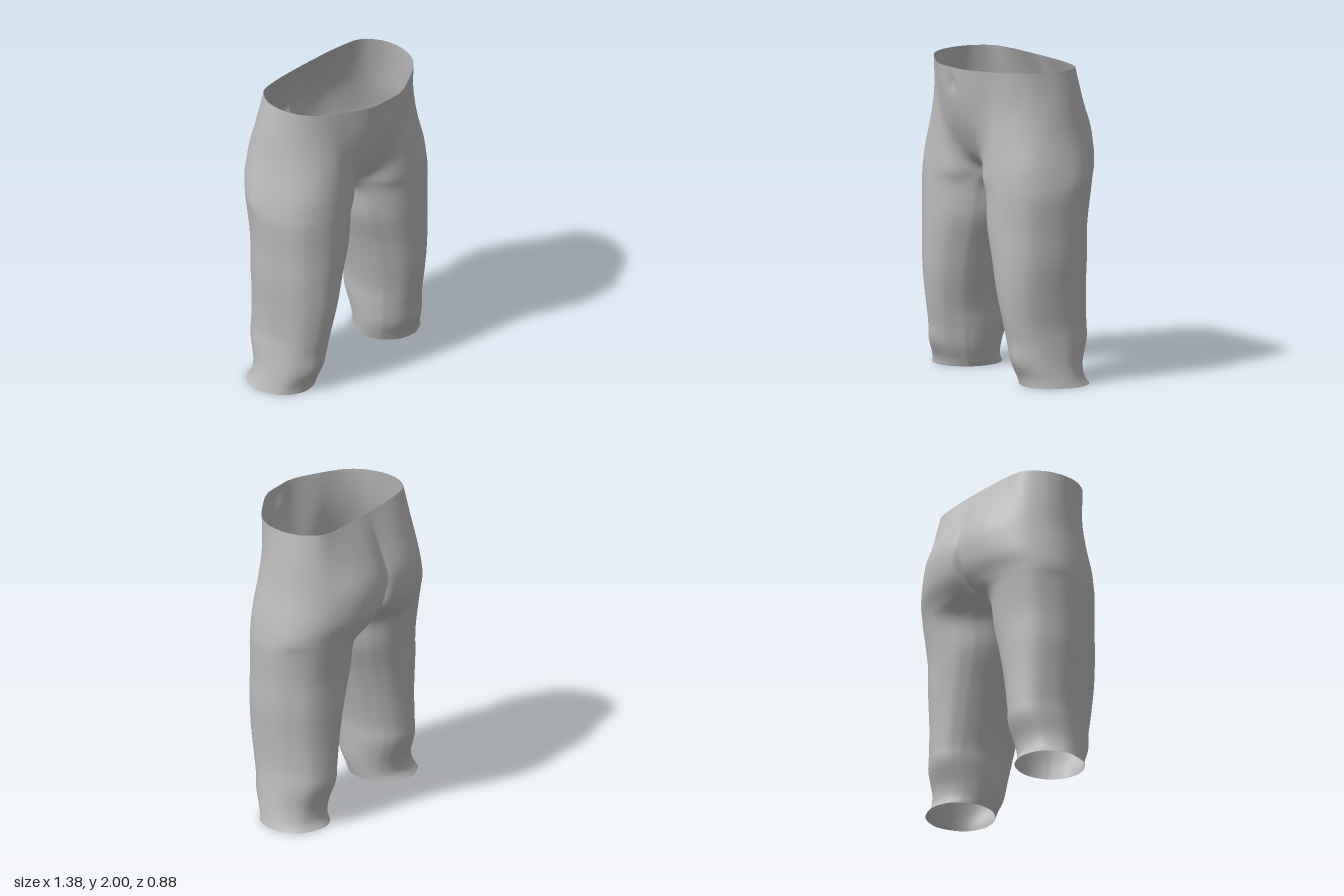
import * as THREE from 'three';
import { mergeVertices, mergeGeometries } from 'three/addons/utils/BufferGeometryUtils.js';

// Hip half-sections: [height, x/z pairs from front centre round the outside to back centre]
const HIPS = [
  [2.0, [0, .43, .14, .42, .3, .34, .44, .245, .515, .14, .542, .03, .54, -.05, .515, -.13, .44, -.22, .3, -.25, .15, -.258, .05, -.26, 0, -.26]],
  [1.8, [0, .405, .13, .395, .27, .335, .39, .28, .5, .18, .56, .06, .575, -.05, .55, -.15, .47, -.255, .3, -.335, .15, -.36, .05, -.35, 0, -.34]],
  [1.6, [0, .35, .12, .345, .24, .325, .35, .315, .47, .25, .565, .13, .605, -.03, .58, -.17, .5, -.29, .33, -.405, .17, -.44, .05, -.425, 0, -.4]],
  [1.42, [0, .26, .09, .265, .2, .31, .33, .33, .47, .29, .585, .18, .645, -.03, .62, -.18, .52, -.31, .33, -.41, .15, -.43, .04, -.4, 0, -.345]],
  [1.3, [0, .14, .06, .19, .17, .3, .32, .335, .47, .305, .6, .19, .667, -.03, .64, -.17, .53, -.29, .33, -.365, .14, -.36, .035, -.3, 0, -.25]],
];
// Underside of the crotch on the centre line, back to front: [y, z]
const CROTCH = [[1.27, -.13], [1.26, -.02], [1.265, .07]];
// Leg sections: [y, inner x, outer x, back z, front z]
const LEGS = [
  [1.2, .03, .668, -.335, .335], [1.0, .055, .655, -.31, .335], [.8, .12, .65, -.3, .33],
  [.6, .175, .632, -.292, .32], [.4, .22, .622, -.29, .29], [.28, .228, .632, -.285, .265],
  [.14, .24, .65, -.235, .235], [.05, .255, .672, -.23, .2], [0, .265, .69, -.26, .19],
];
// Direction of each ring point about the leg axis, in degrees
const ANGLES = [155, 143, 118, 93, 70, 39, 0, -27, -54, -90, -118, -136, -147, -163, -180, -194];
const OUTER = 13, RING = 16, SUB = 4, ROW_SUB = 5;
const SEAM = HIPS.length - 1;

function controlRows() {
  const seamInner = CROTCH.map(([y, z]) => new THREE.Vector3(0, y, z));
  const rows = HIPS.map(([y, p]) => {
    const row = [];
    for (let j = 0; j < OUTER; j++) row.push(new THREE.Vector3(p[2 * j], y, p[2 * j + 1]));
    return row.concat(seamInner.map(v => v.clone()));
  });
  for (const [y, xi, xo, zb, zf] of LEGS) {
    rows.push(ANGLES.map(a => {
      const t = THREE.MathUtils.degToRad(a);
      const s = Math.sin(t), c = Math.cos(t);
      return new THREE.Vector3((xi + xo) / 2 + c * (xo - xi) / 2, y, (zb + zf) / 2 + s * (zf - zb) / 2);
    }));
  }
  return rows;
}

// Smooth cubic through b and c
function cubic(a, b, c, d, t) {
  const f = k => {
    const m0 = (c[k] - a[k]) / 2, m1 = (d[k] - b[k]) / 2, t2 = t * t, t3 = t2 * t;
    return (2 * t3 - 3 * t2 + 1) * b[k] + (t3 - 2 * t2 + t) * m0 + (3 * t2 - 2 * t3) * c[k] + (t3 - t2) * m1;
  };
  return new THREE.Vector3(f('x'), f('y'), f('z'));
}

// One side of the body: open rows over the hip, closed rings down the leg
function halfBody() {
  const ctrl = controlRows();
  const last = ctrl.length - 1;
  const positions = [], index = [];
  const cols = RING * SUB, hipCols = (OUTER - 1) * SUB;
  const seamRow = SEAM * ROW_SUB, rowCount = last * ROW_SUB;
  const mirror = v => new THREE.Vector3(-v.x, v.y, v.z);

  for (let r = 0; r <= rowCount; r++) {
    const i = Math.min(Math.floor(r / ROW_SUB), last - 1);
    const t = r / ROW_SUB - i;
    const row = ctrl[0].map((_, j) => {
      const p = cubic(ctrl[Math.max(i - 1, 0)][j], ctrl[i][j], ctrl[i + 1][j], ctrl[Math.min(i + 2, last)][j], t);
      if (r <= seamRow && (j === 0 || j >= OUTER - 1)) p.x = 0;
      return p;
    });
    const open = r < seamRow;
    for (let c = 0; c < cols; c++) {
      const j = Math.floor(c / SUB), u = c / SUB - j;
      let a = row[(j + RING - 1) % RING], d = row[(j + 2) % RING];
      if (open && j === 0) a = mirror(row[1]);
      if (open && j === OUTER - 2) d = mirror(row[OUTER - 2]);
      const p = cubic(a, row[j], row[(j + 1) % RING], d, u);
      if (r <= seamRow && (c === 0 || c >= hipCols)) p.x = 0;
      p.x = Math.max(p.x, 0);
      // Navel dent and kneecap swelling
      if (p.z > 0) {
        p.z -= .03 * Math.exp(-((p.x / .025) ** 2) - ((p.y - 1.9) / .035) ** 2);
        p.z += .015 * Math.exp(-(((p.x - .47) / .08) ** 2) - ((p.y - .17) / .07) ** 2);
      }
      positions.push(p.x, p.y, p.z);
    }
  }
  for (let r = 0; r < rowCount; r++) {
    const n = r < seamRow ? hipCols : cols;
    for (let c = 0; c < n; c++) {
      const a = r * cols + c, b = r * cols + (c + 1) % cols;
      index.push(a, a + cols, b + cols, a, b + cols, b);
    }
  }
  const g = new THREE.BufferGeometry();
  g.setAttribute('position', new THREE.Float32BufferAttribute(positions, 3));
  g.setIndex(index);
  return g;
}

// Mirror across x and flip the winding
function mirrored(g) {
  const m = g.clone();
  m.scale(-1, 1, 1);
  const ix = m.index.array;
  for (let k = 0; k < ix.length; k += 3) [ix[k + 1], ix[k + 2]] = [ix[k + 2], ix[k + 1]];
  return m;
}

export function createModel() {
  const grey = new THREE.MeshStandardMaterial({ color: 0xbcbcbc, side: THREE.DoubleSide });
  grey.name = 'plain grey';

  // Both sides welded along the centre line so the shading runs through
  const left = halfBody();
  const bare = mergeGeometries([left, mirrored(left)]);
  bare.deleteAttribute('normal');
  const body = mergeVertices(bare, 1e-4);
  body.computeVertexNormals();

  const mesh = new THREE.Mesh(body, grey);
  mesh.name = 'hipsAndLegs';
  const group = new THREE.Group();
  group.name = 'lowerBody';
  group.add(mesh);
  return group;
}
